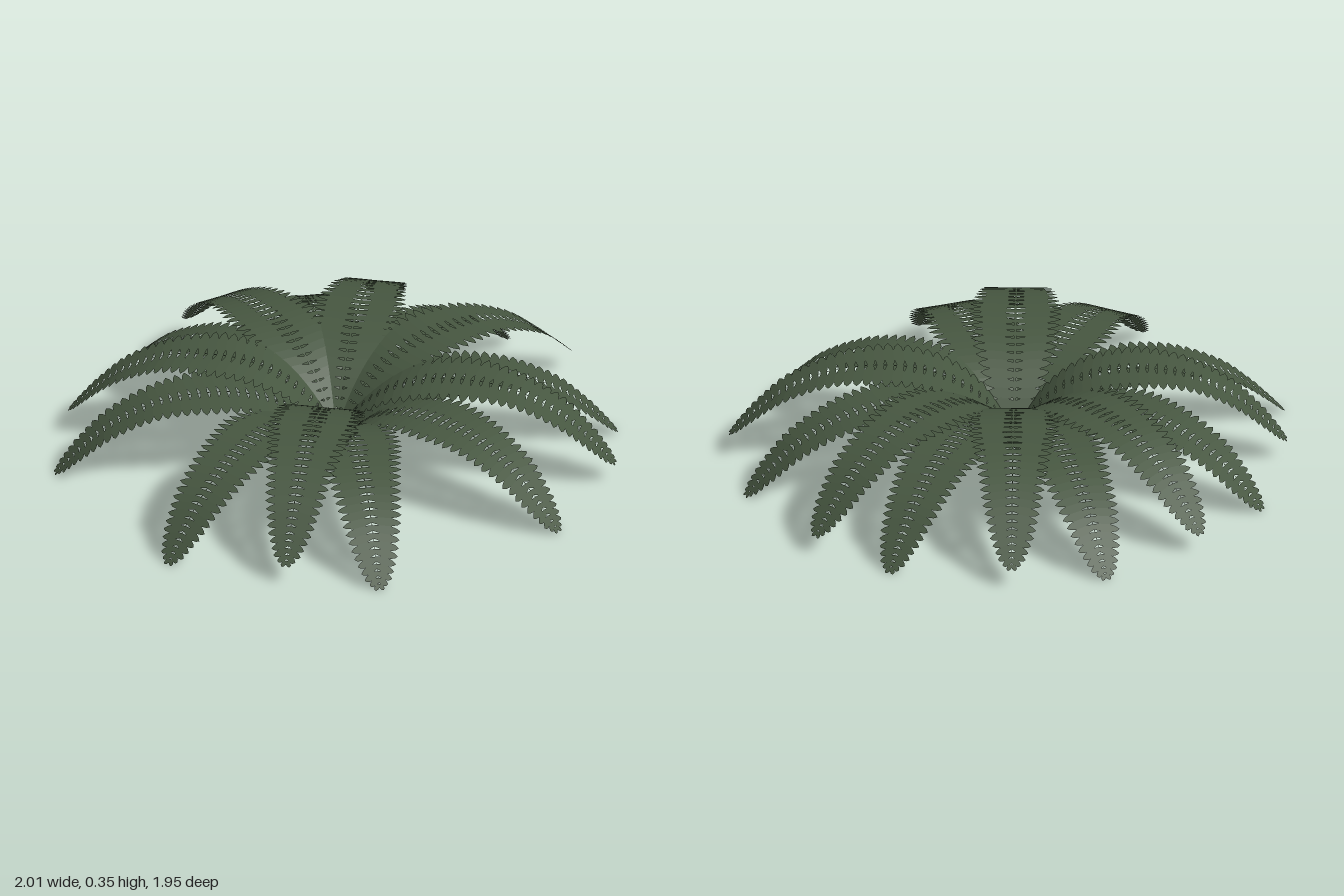
import * as THREE from 'three';

const LEAFLETS = 36;

// Arching midrib of a frond, growing along +z
const midrib = new THREE.CatmullRomCurve3([
  [0, 0.02], [0.1, 0.14], [0.2, 0.215], [0.32, 0.26], [0.45, 0.275],
  [0.63, 0.255], [0.8, 0.18], [0.9, 0.1], [1, 0],
].map(([r, y]) => new THREE.Vector3(0, y, r)));

// Leaflet length against distance from the centre
const REACH = [[0, 0.03], [0.1, 0.11], [0.25, 0.155], [0.45, 0.165], [0.65, 0.13],
  [0.8, 0.108], [0.9, 0.08], [0.96, 0.05], [1, 0.012]];
function reachAt(r) {
  for (let i = 1; i < REACH.length; i++) {
    const [r0, w0] = REACH[i - 1], [r1, w1] = REACH[i];
    if (r <= r1) return w0 + (w1 - w0) * Math.max(0, (r - r0) / (r1 - r0));
  }
  return REACH[REACH.length - 1][1];
}

// Half outline of a leaflet: fraction along its length, fraction of its width
const OUTLINE = [[0, 0.3], [0.3, 0.5], [0.65, 0.5], [0.87, 0.3], [1, 0]];

function geometryFrom(triangles) {
  const geometry = new THREE.BufferGeometry().setFromPoints(triangles);
  geometry.computeVertexNormals();
  return geometry;
}

// Quad strip between two rows of points
function addStrip(out, a, b, flip) {
  for (let i = 0; i < a.length - 1; i++) {
    const tris = [[a[i], b[i], b[i + 1]], [a[i], b[i + 1], a[i + 1]]];
    for (const [p, q, s] of tris) out.push(...(flip ? [p, s, q] : [p, q, s]));
  }
}

// Pairs of flat pointed leaflets lying in the plane of the midrib's tangent
function leafletGeometry() {
  const tris = [];
  const station = (i) => 1 - Math.pow(1 - i / LEAFLETS, 1.15);
  const length = midrib.getLength();
  for (let i = 0; i < LEAFLETS; i++) {
    const u = (station(i) + station(i + 1)) / 2;
    const p = midrib.getPointAt(u), t = midrib.getTangentAt(u);
    const width = (station(i + 1) - station(i)) * length * 1.1;
    const reach = reachAt(p.z);
    const lean = Math.min(0.08 + 0.5 * Math.pow(u, 6), Math.max(0, (1 - u) * length / reach));
    for (const side of [1, -1]) {
      const edge = (sign) => OUTLINE.map(([f, w]) => p.clone()
        .addScaledVector(t, f * reach * lean + sign * w * width)
        .add(new THREE.Vector3(side * f * reach, 0, 0)));
      addStrip(tris, edge(-1), edge(1), side < 0);
    }
  }
  return geometryFrom(tris);
}

// Narrow ribbon along the middle of the frond
function stemGeometry() {
  const tris = [];
  const row = (side) => midrib.getSpacedPoints(40).map((p, i) =>
    p.add(new THREE.Vector3(side * 0.006 * (1 - i / 42), 0, 0)));
  addStrip(tris, row(-1), row(1), true);
  return geometryFrom(tris);
}

export function createModel() {
  const model = new THREE.Group();
  model.name = 'fern';
  const green = new THREE.MeshStandardMaterial({ color: 0x465640, side: THREE.DoubleSide });
  green.name = 'fern green';
  const leaflets = leafletGeometry(), stem = stemGeometry();

  function addFrond(name, x, z, lift) {
    const frond = new THREE.Group();
    frond.name = name;
    for (const [part, geometry] of [['leaflets', leaflets], ['stem', stem]]) {
      const mesh = new THREE.Mesh(geometry, green);
      mesh.name = part;
      frond.add(mesh);
    }
    frond.rotation.y = Math.atan2(x, z);
    frond.scale.z = Math.hypot(x, z);
    frond.position.y = lift;
    model.add(frond);
  }

  // Lower ring: eight evenly spaced fronds touching the ground
  for (let i = 0; i < 8; i++) {
    const a = i * Math.PI / 4;
    addFrond('lowerFrond' + (i + 1), Math.sin(a), Math.cos(a) * (i % 4 === 0 ? 0.97 : 1), 0);
  }

  // Upper ring: six raised fronds between them
  [[0.37, -0.91], [0.9, -0.43], [0.98, 0.3], [0.42, 0.91], [-0.86, 0.41], [-0.4, -0.87]]
    .forEach(([x, z], i) => addFrond('upperFrond' + (i + 1), x, z, 0.065));

  return model;
}
